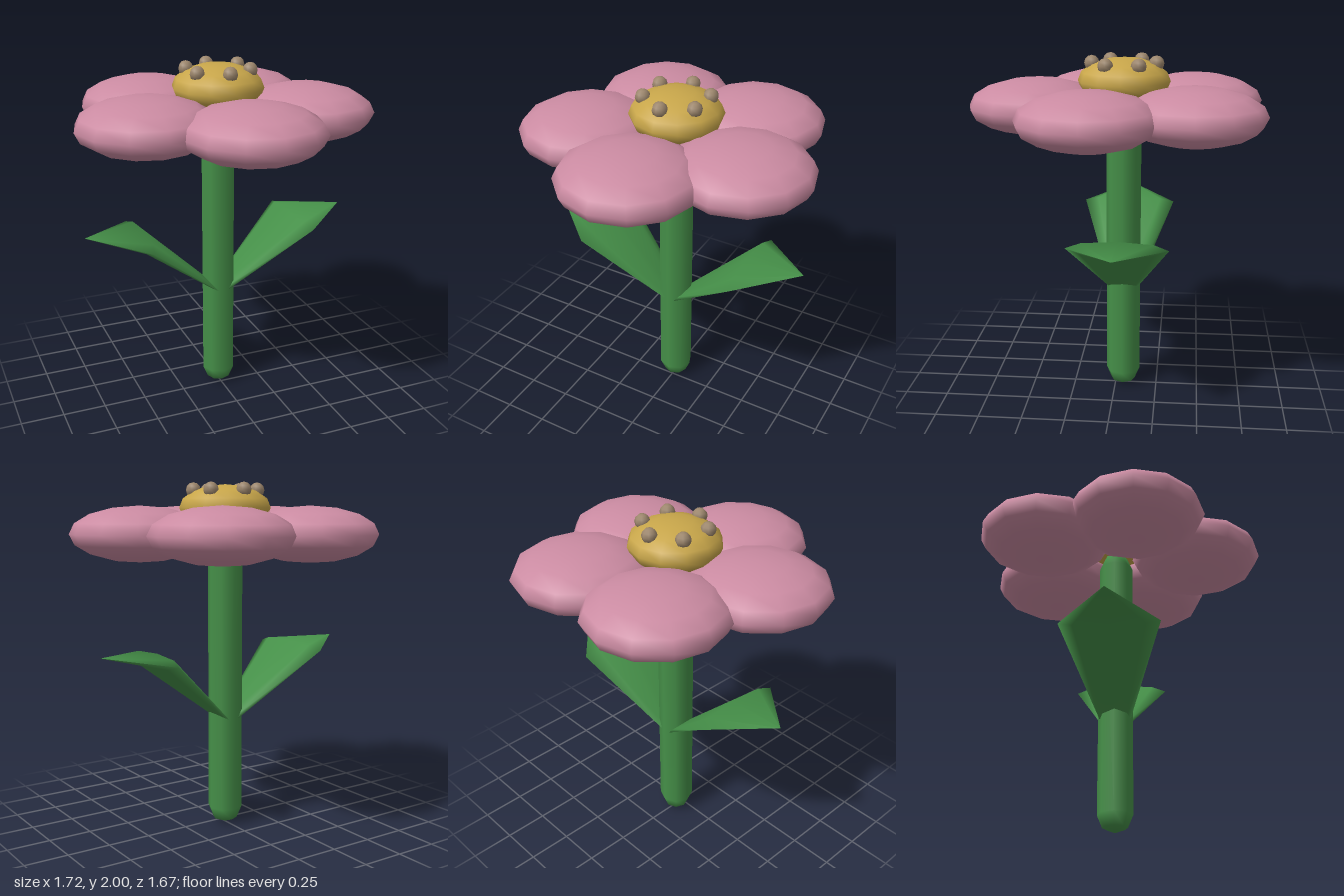
import * as THREE from 'three';

const mat = (color) => new THREE.MeshStandardMaterial({ color });

// Leaf: flattened octagonal sections that widen from the stem, then close to a tip
function leafGeometry() {
  const sides = 8;
  const sections = [
    // x, y, half width, half thickness
    [0.035, 0.65, 0.09, 0.012],
    [0.485, 1.03, 0.28, 0.045],
    [0.8, 1.07, 0.001, 0.001],
  ];
  const pos = [], index = [];
  for (const [x, y, w, t] of sections) {
    for (let i = 0; i < sides; i++) {
      const a = (i / sides) * Math.PI * 2;
      const n = Math.cos(a) * t;
      pos.push(x - 0.65 * n, y + 0.76 * n, Math.sin(a) * w);
    }
  }
  for (let s = 0; s < sections.length - 1; s++) {
    for (let i = 0; i < sides; i++) {
      const j = (i + 1) % sides;
      const a = s * sides + i, b = s * sides + j;
      index.push(a, b, b + sides, a, b + sides, a + sides);
    }
  }
  // base cap
  for (let i = 1; i < sides - 1; i++) index.push(0, i + 1, i);
  const g = new THREE.BufferGeometry();
  g.setAttribute('position', new THREE.Float32BufferAttribute(pos, 3));
  g.setIndex(index);
  g.computeVertexNormals();
  return g;
}

export function createModel() {
  const model = new THREE.Group();
  const flower = new THREE.Group();
  flower.name = 'flower';
  flower.position.z = -0.047;
  model.add(flower);

  const green = mat(0x458f48), pink = mat(0xcb8ba2);
  const yellow = mat(0xc8a64a), brown = mat(0x9c866c);

  const add = (name, geometry, material, x, y, z) => {
    const mesh = new THREE.Mesh(geometry, material);
    mesh.name = name;
    mesh.position.set(x, y, z);
    flower.add(mesh);
    return mesh;
  };

  // Stem with rounded ends
  add('stem', new THREE.CapsuleGeometry(0.1, 1.55, 2, 8), green, 0, 0.875, 0);

  // Pair of leaves
  const leaf = leafGeometry();
  add('leftLeaf', leaf, green, 0, 0, 0);
  add('rightLeaf', leaf, green, 0, 0, 0).rotation.y = Math.PI;

  // Five petals, the first one to the front
  const petal = new THREE.SphereGeometry(0.39, 12, 8).scale(1, 0.4, 1);
  for (let i = 0; i < 5; i++) {
    const a = (i / 5) * Math.PI * 2;
    add('petal' + (i + 1), petal, pink, Math.sin(a) * 0.492, 1.715, Math.cos(a) * 0.492);
  }

  // Domed centre with a ring of six stamens
  const centre = new THREE.SphereGeometry(0.26, 12, 8).scale(1, 0.5, 1);
  add('flowerCentre', centre, yellow, 0, 1.86, 0);
  const stamen = new THREE.SphereGeometry(0.043, 8, 6);
  for (let i = 0; i < 6; i++) {
    const a = (i / 6) * Math.PI * 2;
    add('stamen' + (i + 1), stamen, brown, Math.sin(a) * 0.18, 1.957, Math.cos(a) * 0.18);
  }

  return model;
}
